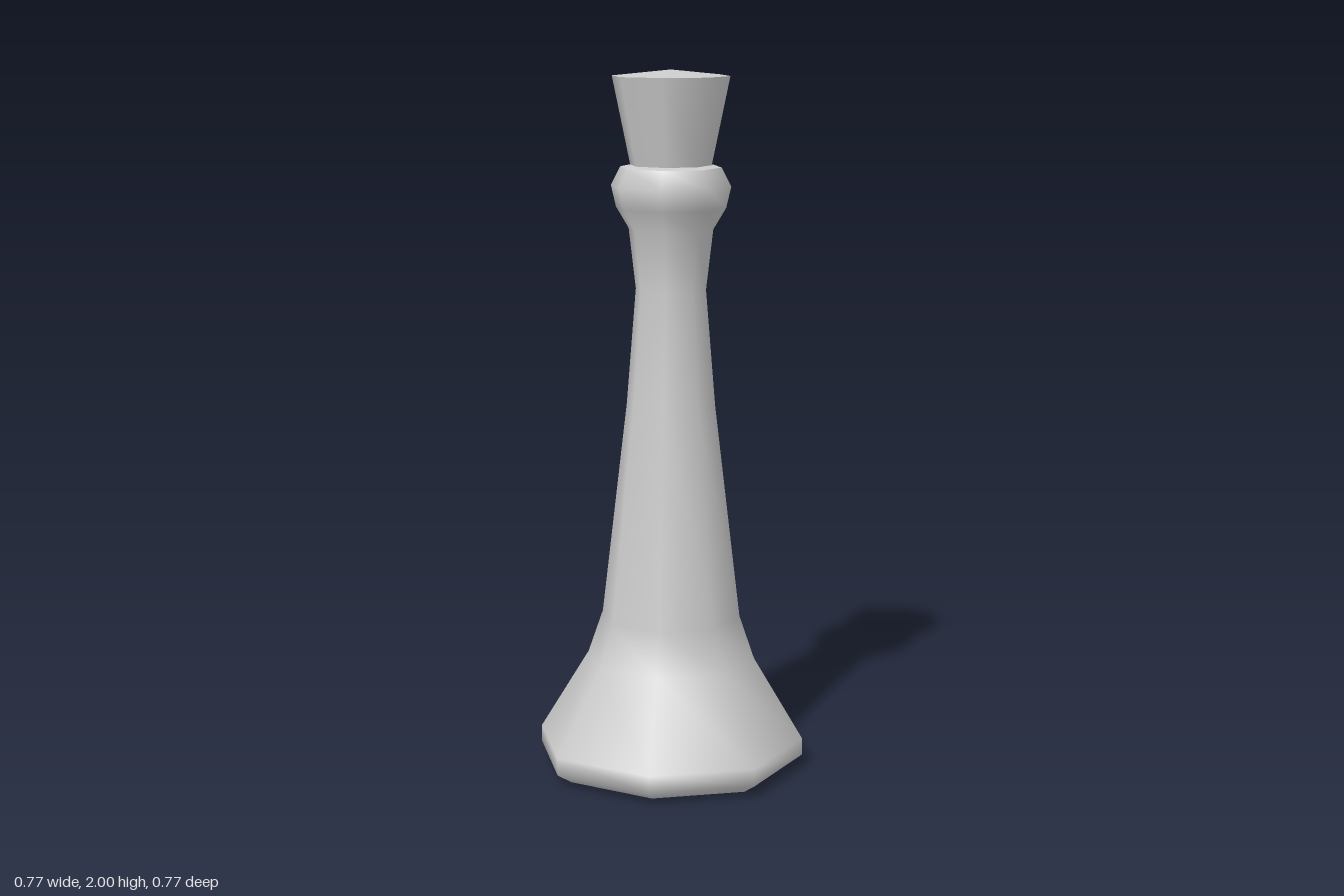
import * as THREE from 'three';

const SIDES = 8;

// Smooth eight-sided turning; corners between the axes sit slightly further out.
function turned(name, profile, material) {
  const points = profile.map(([r, y]) => new THREE.Vector2(r, y));
  const geometry = new THREE.LatheGeometry(points, SIDES);
  const pos = geometry.attributes.position;
  for (let i = 0; i < pos.count; i++) {
    const x = pos.getX(i), z = pos.getZ(i);
    const diagonal = Math.abs(x) > 1e-4 && Math.abs(z) > 1e-4;
    const k = diagonal ? 1.03 : 1;
    pos.setXYZ(i, x * k, pos.getY(i), z * k);
  }
  const mesh = new THREE.Mesh(geometry, material);
  mesh.name = name;
  return mesh;
}

export function createModel() {
  const model = new THREE.Group();
  model.name = 'chessQueen';
  const grey = new THREE.MeshStandardMaterial({ color: 0xcccccc });

  // Flat underside of the foot
  model.add(turned('underside', [[0, 0], [0.34, 0.005]], grey));

  // Flared foot and tapering stem, widening into the collar
  model.add(turned('body', [
    [0.34, 0.005], [0.385, 0.035], [0.385, 0.085],
    [0.243, 0.32], [0.2, 0.445], [0.127, 1.06], [0.1, 1.39],
    [0.12, 1.56], [0.156, 1.62], [0.17, 1.68], [0.143, 1.732],
  ], grey));

  // Top face of the collar
  model.add(turned('collarTop', [[0.143, 1.732], [0.115, 1.738]], grey));

  // Flared crown with a low pointed cap
  model.add(turned('crown', [[0.115, 1.738], [0.166, 1.983]], grey));
  model.add(turned('crownCap', [[0.166, 1.983], [0, 2]], grey));

  return model;
}
